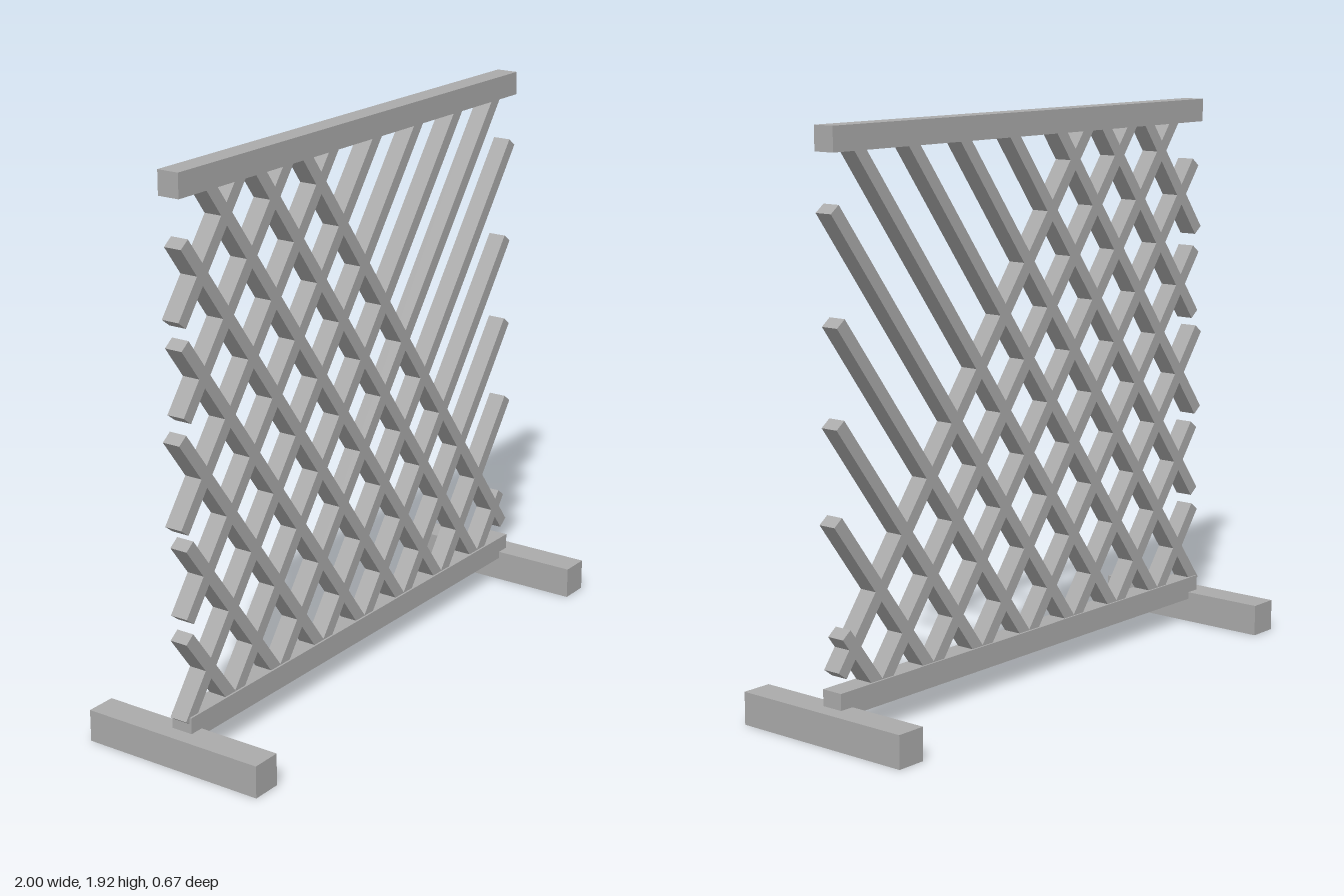
import * as THREE from 'three';

export function createModel() {
  const model = new THREE.Group();
  model.name = 'latticeScreen';
  const grey = new THREE.MeshStandardMaterial({ color: 0xaaaaaa });
  grey.name = 'grey';

  function box(name, w, h, d, x, y, z, parent = model) {
    const mesh = new THREE.Mesh(new THREE.BoxGeometry(w, h, d), grey);
    mesh.name = name;
    mesh.position.set(x, y, z);
    parent.add(mesh);
    return mesh;
  }

  // Feet and rails
  box('leftFoot', 0.106, 0.11, 0.674, 0.947, 0.055, 0);
  box('rightFoot', 0.106, 0.11, 0.674, -0.947, 0.055, 0);
  box('bottomRail', 1.888, 0.08, 0.078, 0, 0.125, 0);
  box('topRail', 1.888, 0.08, 0.078, 0, 1.885, 0);

  // Lattice: evenly spaced slats leaning both ways, all crossing in one plane
  const SLOPE = 1.333, STEP = 0.243, X0 = -0.831, Y0 = 0.294;
  const BOTTOM = 0.13, TOP = 1.88;

  // A slat runs between the rails unless a cut x is given for an end
  function slat(name, parent, index, slope, cutLeft, cutRight) {
    const xAt = y => X0 + index * STEP + (y - Y0) / slope;
    const yAt = x => Y0 + (x - X0 - index * STEP) * slope;
    const x1 = cutLeft ?? xAt(slope > 0 ? BOTTOM : TOP);
    const x2 = cutRight ?? xAt(slope > 0 ? TOP : BOTTOM);
    const y1 = yAt(x1), y2 = yAt(x2);
    const mesh = box(name, Math.hypot(x2 - x1, y2 - y1), 0.043, 0.064,
      (x1 + x2) / 2, (y1 + y2) / 2, 0, parent);
    mesh.rotation.z = Math.atan2(y2 - y1, x2 - x1);
  }

  const rising = new THREE.Group();
  rising.name = 'risingSlats';
  const risingLeft = { '-4': -0.933, '-3': -0.919, '-2': -0.944, '-1': -0.928, 0: -0.944 };
  const risingRight = { 3: 0.933, 4: 0.914, 5: 0.922, 6: 0.938, 7: 0.908 };
  for (let i = -4; i <= 7; i++) slat('risingSlat', rising, i, SLOPE, risingLeft[i], risingRight[i]);

  const falling = new THREE.Group();
  falling.name = 'fallingSlats';
  const fallingLeft = { 0: -0.933, 1: -0.922, 2: -0.944, 3: -0.922, 4: -0.914 };
  const fallingRight = { 7: 0.928 };
  for (let i = 0; i <= 7; i++) slat('fallingSlat', falling, i, -SLOPE, fallingLeft[i], fallingRight[i]);

  model.add(rising, falling);
  return model;
}
